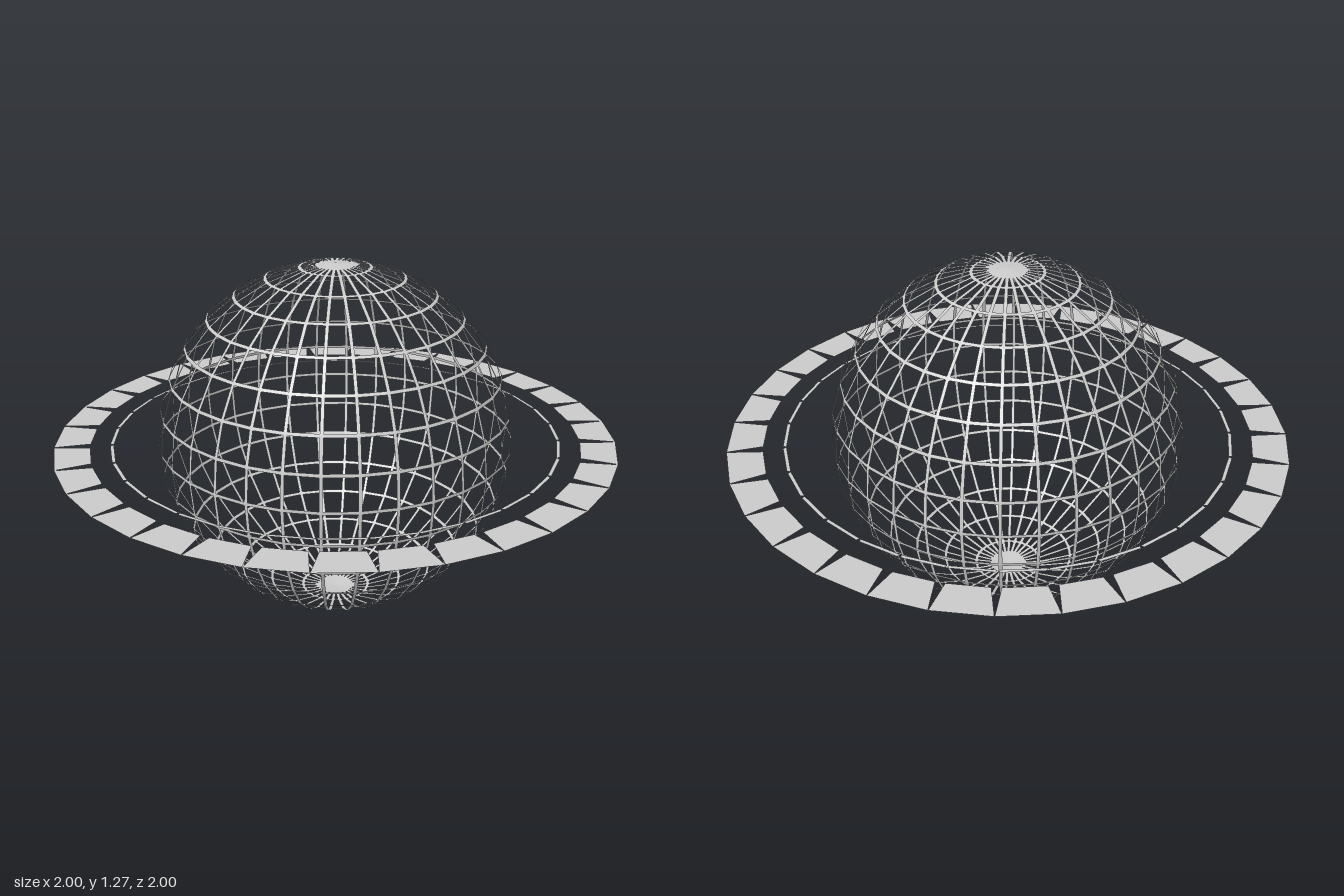
import * as THREE from 'three';

const R = 0.633;      // globe radius, also its centre height
const SEG = 32;       // segments around
const ROWS = 16;      // segments from pole to pole
const HALF = 0.006;   // half width of a lattice strip

const material = new THREE.MeshStandardMaterial({
  color: 0xcccccc, flatShading: true, side: THREE.DoubleSide,
});

// Mesh from a list of flat four-cornered faces
function quadMesh(name, quads) {
  const points = quads.flatMap(([a, b, c, d]) => [a, b, c, a, c, d]);
  const geometry = new THREE.BufferGeometry().setFromPoints(points);
  geometry.computeVertexNormals();
  const mesh = new THREE.Mesh(geometry, material);
  mesh.name = name;
  return mesh;
}

const shift = (p, dir, amount) => p.clone().addScaledVector(dir, amount);

// Strip of constant width from p to q, widened along a direction at each end
const strip = (p, dp, q, dq) =>
  [shift(p, dp, HALF), shift(p, dp, -HALF), shift(q, dq, -HALF), shift(q, dq, HALF)];

const azimuth = (i) => (i / SEG) * Math.PI * 2;
const polar = (j) => (j / ROWS) * Math.PI;
const onGlobe = (i, j) => new THREE.Vector3().setFromSphericalCoords(R, polar(j), azimuth(i));
const sideways = (i) => new THREE.Vector3(Math.cos(azimuth(i)), 0, -Math.sin(azimuth(i)));
const upward = (i, j) =>
  new THREE.Vector3().setFromSphericalCoords(1, polar(j) - Math.PI / 2, azimuth(i));

// Ring of separate four-cornered plates; gaps narrow each plate at its two edges
function plateRing(name, inner, outer, innerGap, outerGap) {
  const quads = [];
  const at = (r, i, gap) => {
    const a = azimuth(i) + gap / r;
    return new THREE.Vector3(r * Math.sin(a), 0, r * Math.cos(a));
  };
  for (let i = 0; i < SEG; i++) {
    quads.push([
      at(inner, i, innerGap), at(outer, i, outerGap),
      at(outer, i + 1, -outerGap), at(inner, i + 1, -innerGap),
    ]);
  }
  return quadMesh(name, quads);
}

export function createModel() {
  const model = new THREE.Group();
  model.name = 'ringedGlobe';
  const body = new THREE.Group();
  body.name = 'globeAndRings';
  body.position.y = R;
  model.add(body);

  // Lattice strips running pole to pole, and around the globe
  const meridians = [];
  const parallels = [];
  for (let i = 0; i < SEG; i++) {
    for (let j = 0; j < ROWS; j++) {
      meridians.push(strip(onGlobe(i, j), sideways(i), onGlobe(i, j + 1), sideways(i)));
      if (j > 0) {
        parallels.push(strip(onGlobe(i, j), upward(i, j), onGlobe(i + 1, j), upward(i + 1, j)));
      }
    }
  }
  body.add(quadMesh('meridians', meridians), quadMesh('parallels', parallels));

  // Shallow caps where the strips meet at the poles
  const capRadius = 0.066;
  const capHeight = capRadius * Math.tan(Math.PI / ROWS / 2);
  for (const s of [1, -1]) {
    const cap = new THREE.Mesh(
      new THREE.ConeGeometry(capRadius, capHeight, SEG, 1, true), material);
    cap.name = s > 0 ? 'topCap' : 'bottomCap';
    cap.position.y = s * (R - capHeight / 2);
    if (s < 0) cap.rotation.x = Math.PI;
    body.add(cap);
  }

  // Broad outer ring with wedge slits, and the thin inner ring
  body.add(plateRing('outerRing', 0.873, 1, 0.016, 0.0005));
  body.add(plateRing('innerRing', 0.792, 0.804, 0.0005, 0.007));
  return model;
}
